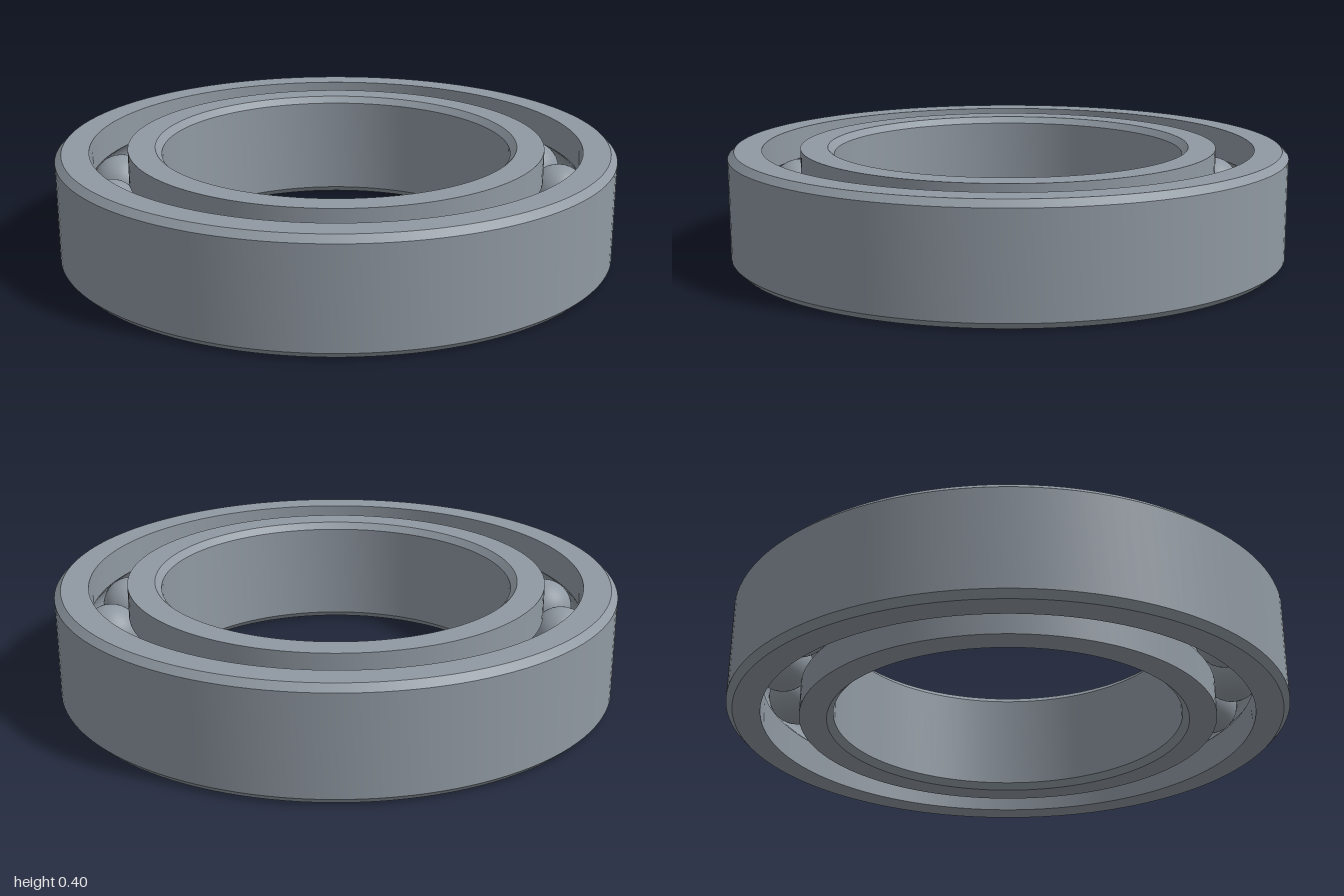
import * as THREE from 'three';
import { toCreasedNormals } from 'three/addons/utils/BufferGeometryUtils.js';

const HEIGHT = 0.4, PITCH = 0.8125, BALL_RADIUS = 0.105, BALLS = 17;
const OUTER = 1, SHOULDER = 0.88, CHAMFER = 0.023, GROOVE = 0.107;

// Outer race section, counter-clockwise in (radius, height)
function raceProfile() {
  const pts = [
    [OUTER - CHAMFER, 0],
    [OUTER, CHAMFER],
    [OUTER, HEIGHT - CHAMFER],
    [OUTER - CHAMFER, HEIGHT],
    [SHOULDER, HEIGHT],
  ];
  // Ball groove in the wall facing the balls
  const half = Math.acos((SHOULDER - PITCH) / GROOVE), steps = 14;
  for (let i = 0; i <= steps; i++) {
    const a = half * (1 - (2 * i) / steps);
    pts.push([PITCH + GROOVE * Math.cos(a), HEIGHT / 2 + GROOVE * Math.sin(a)]);
  }
  pts.push([SHOULDER, 0], [OUTER - CHAMFER, 0]);
  return pts;
}

function race(name, profile, material) {
  const lathe = new THREE.LatheGeometry(profile.map(([r, y]) => new THREE.Vector2(r, y)), 128);
  const mesh = new THREE.Mesh(toCreasedNormals(lathe, 0.45), material);
  mesh.name = name;
  return mesh;
}

export function createModel() {
  const model = new THREE.Group();
  model.name = 'ballBearing';
  const steel = new THREE.MeshStandardMaterial({ color: 0x9099a2 });
  steel.name = 'steel';

  // The inner race section is the outer one turned half around the ball centre
  const outer = raceProfile();
  const inner = outer.map(([r, y]) => [2 * PITCH - r, HEIGHT - y]);
  model.add(race('outerRace', outer, steel), race('innerRace', inner, steel));

  // Balls evenly spaced on the pitch circle
  const balls = new THREE.Group();
  balls.name = 'balls';
  const sphere = new THREE.SphereGeometry(BALL_RADIUS, 32, 20);
  const start = THREE.MathUtils.degToRad(9.2);
  for (let i = 0; i < BALLS; i++) {
    const a = start + (i * 2 * Math.PI) / BALLS;
    const ball = new THREE.Mesh(sphere, steel);
    ball.name = 'ball';
    ball.position.set(PITCH * Math.cos(a), HEIGHT / 2, -PITCH * Math.sin(a));
    balls.add(ball);
  }
  model.add(balls);
  return model;
}
